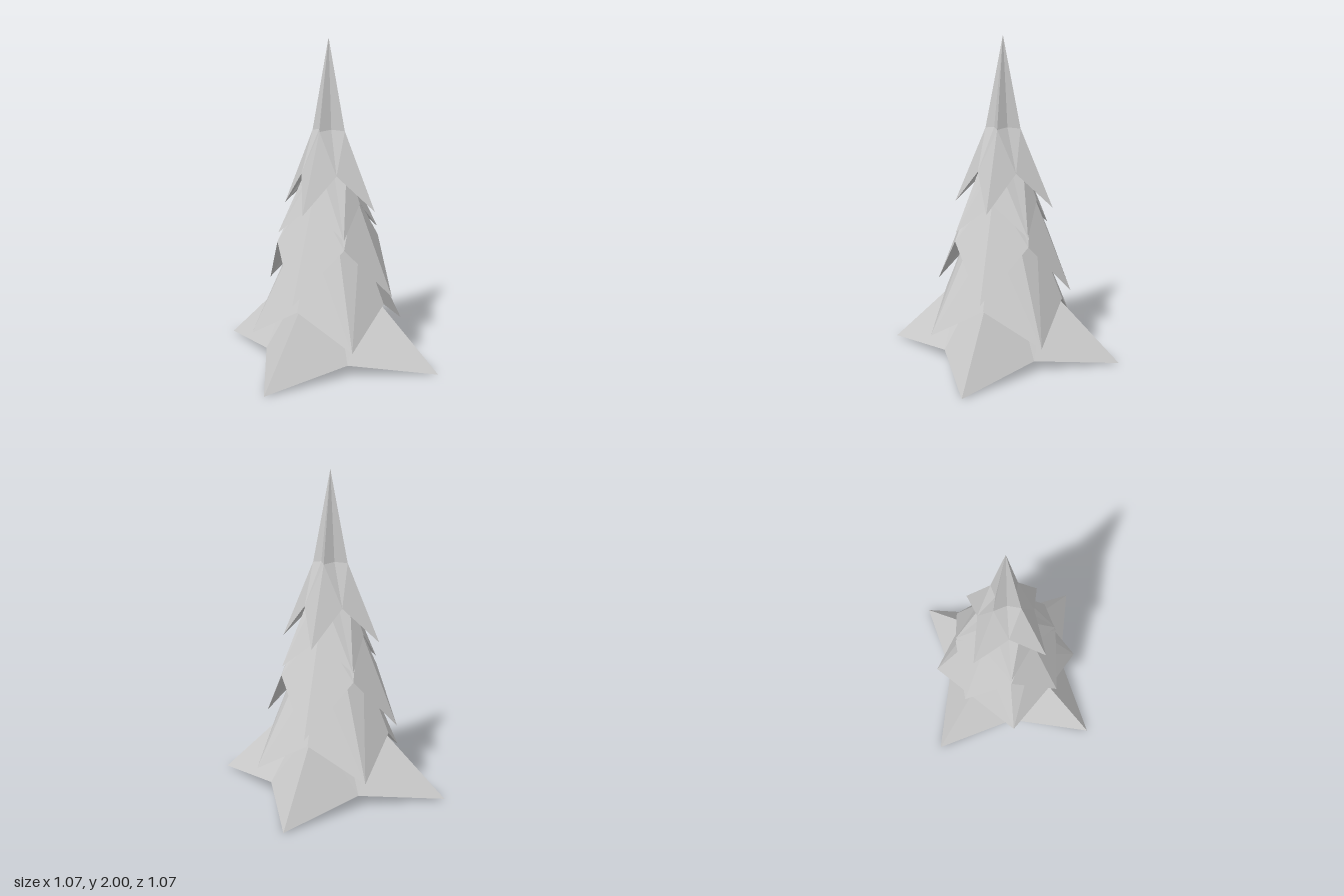
import * as THREE from 'three';

// A ring is [radius on the axes, its height, offset of the diagonal corners, their height].
function ringPoint([axisR, axisY, corner, cornerY], i) {
  const a = (i * Math.PI) / 4;
  const onAxis = i % 2 === 0;
  const r = onAxis ? axisR : corner * Math.SQRT2;
  return [Math.sin(a) * r, onAxis ? axisY : cornerY, Math.cos(a) * r];
}

// Joins eight-pointed rings, listed bottom to top, into a faceted shell.
function starShell(rings) {
  const pos = [];
  const tri = (...pts) => pts.forEach((p) => pos.push(...p));
  for (let k = 0; k < rings.length - 1; k++) {
    for (let i = 0; i < 8; i++) {
      const a = ringPoint(rings[k], i), b = ringPoint(rings[k], i + 1);
      const c = ringPoint(rings[k + 1], i + 1), d = ringPoint(rings[k + 1], i);
      const closed = rings[k + 1][0] === 0;
      // Splits alternate so every arm is symmetric
      if (closed) tri(a, b, c);
      else if (i % 2 === 0) tri(a, b, c, a, c, d);
      else tri(a, b, d, b, c, d);
    }
  }
  const geometry = new THREE.BufferGeometry();
  geometry.setAttribute('position', new THREE.Float32BufferAttribute(pos, 3));
  geometry.computeVertexNormals();
  return geometry;
}

export function createModel() {
  const tree = new THREE.Group();
  tree.name = 'firTree';
  const material = new THREE.MeshStandardMaterial({
    color: 0xcccccc, flatShading: true, side: THREE.DoubleSide,
  });

  // Rim and upper ring of each tier; drooping tips alternate between corners and axes
  const tiers = [
    { name: 'bottomBranches', rings: [[0.41, 0.07, 0.535, 0], [0.17, 0.47, 0.195, 0.47]] },
    { name: 'lowerBranches', rings: [[0.5, 0.18, 0.275, 0.385], [0.2, 0.8, 0.155, 0.8]] },
    { name: 'middleBranches', rings: [[0.33, 0.76, 0.313, 0.44], [0.12, 1.07, 0.13, 1.07]] },
    { name: 'upperBranches', rings: [[0.325, 0.815, 0.155, 1.0], [0.085, 1.25, 0.09, 1.25]] },
    { name: 'crown', rings: [[0.173, 1.18, 0.227, 0.96], [0.06, 1.45, 0.08, 1.44], [0, 2, 0, 2]] },
  ];

  // Each tier folds out from the top ring of the one below
  tiers.forEach(({ name, rings }, i) => {
    const below = i > 0 ? [tiers[i - 1].rings[1]] : [];
    const mesh = new THREE.Mesh(starShell([...below, ...rings]), material);
    mesh.name = name;
    tree.add(mesh);
  });
  return tree;
}
